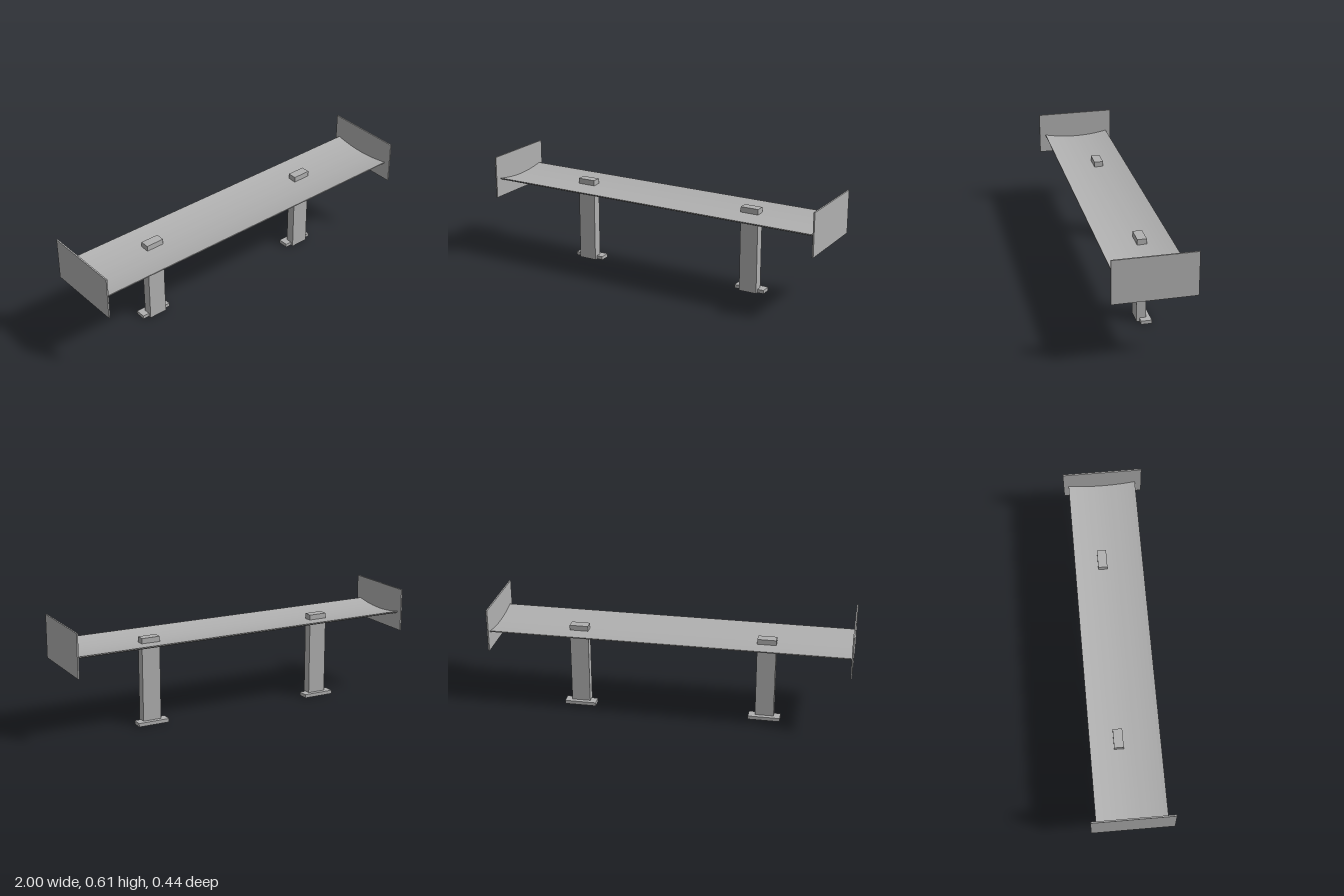
import * as THREE from 'three';

export function createModel() {
  const group = new THREE.Group();
  const grey = new THREE.MeshStandardMaterial({ color: 0xb0b0b0 });
  grey.name = 'grey';

  const add = (name, geometry) => {
    const mesh = new THREE.Mesh(geometry, grey);
    mesh.name = name;
    group.add(mesh);
  };
  // box given by its lower and upper corners
  const box = (name, x0, x1, y0, y1, z0, z1) => add(name,
    new THREE.BoxGeometry(x1 - x0, y1 - y0, z1 - z0)
      .translate((x0 + x1) / 2, (y0 + y1) / 2, (z0 + z1) / 2));

  // wing blade: hollowed top, gently waved underside, facetted along its chord
  const back = -0.194, front = 0.186, steps = 18;
  const top = [], under = [];
  for (let i = 0; i <= steps; i++) {
    const t = i / steps, z = back + (front - back) * t, u = 2 * t - 1;
    top.push(new THREE.Vector2(z, 0.474 - 0.021 * (1 - u * u)));
    const bulge = Math.sqrt(Math.max(0, 1 - u * u));
    const lift = 0.006 * Math.exp(-u * u * 14);
    under.push(new THREE.Vector2(z, 0.468 - 0.028 * Math.pow(bulge, 1.4) + lift));
  }
  const profile = new THREE.Shape([...under, ...top.reverse()]);
  const span = 1.988;
  add('wingBlade', new THREE.ExtrudeGeometry(profile, { depth: span, bevelEnabled: false })
    .translate(0, 0, -span / 2).rotateY(-Math.PI / 2));

  // thin end plates
  box('leftEndPlate', 0.992, 1, 0.365, 0.606, -0.222, 0.222);
  box('rightEndPlate', -1, -0.992, 0.365, 0.606, -0.222, 0.222);

  // posts that pass through the blade, each with a mounting foot
  for (const [side, x] of [['left', 0.52], ['right', -0.528]]) {
    box(side + 'Post', x - 0.052, x + 0.052, 0, 0.484, -0.065, -0.014);
    box(side + 'Foot', x - 0.089, x + 0.089, 0.001, 0.021, -0.089, -0.03);
  }
  return group;
}
